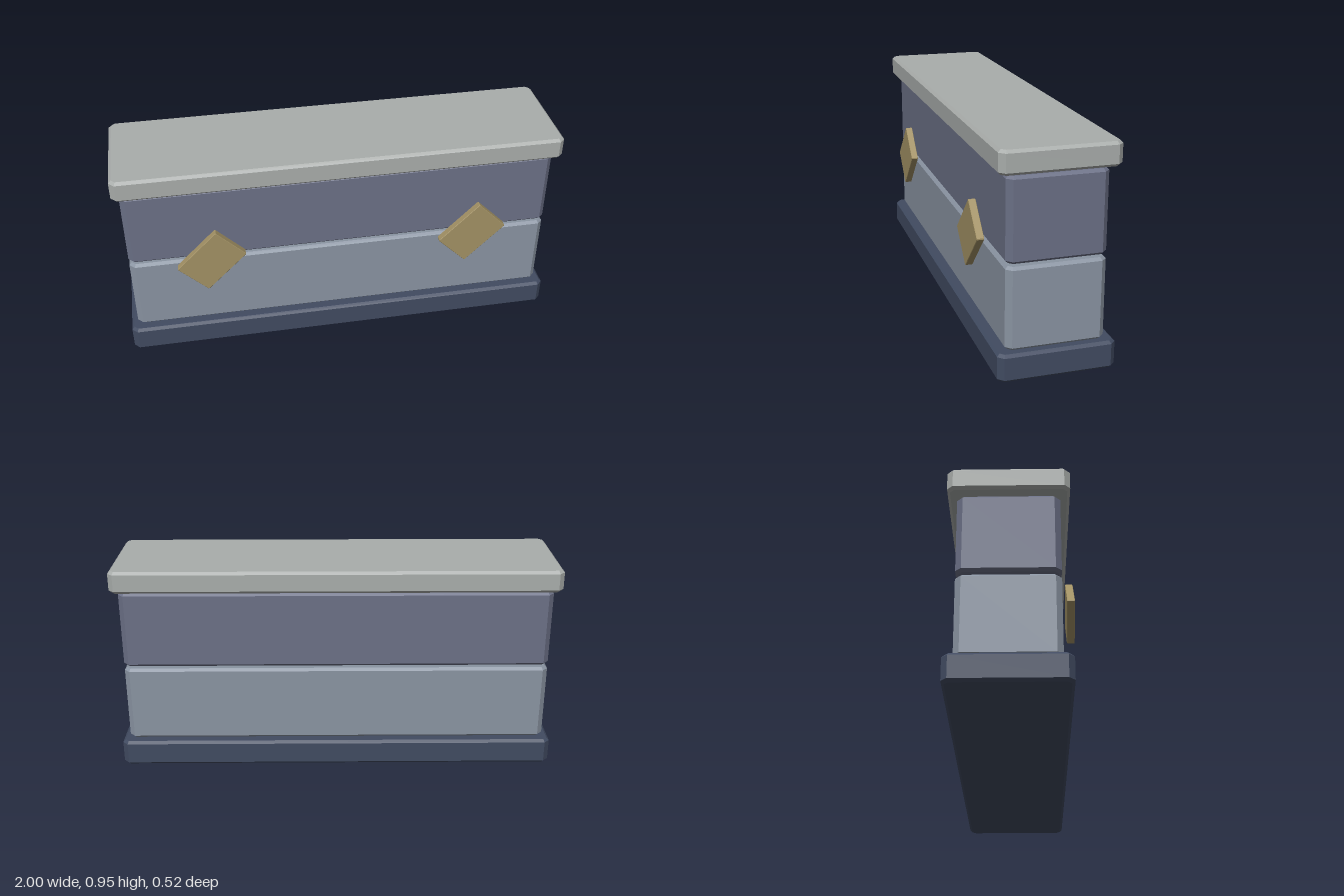
import * as THREE from 'three';

// Block with cut corners in outline and a single-step chamfer on both faces.
// Outline lies in xy, depth along z, centred on the origin.
function chamferedBlock(w, h, depth, cut, bevel) {
  const x = w / 2, y = h / 2;
  const shape = new THREE.Shape([
    [x - cut, -y], [x, -y + cut], [x, y - cut], [x - cut, y],
    [-x + cut, y], [-x, y - cut], [-x, -y + cut], [-x + cut, -y],
  ].map(([px, py]) => new THREE.Vector2(px, py)));
  const geo = new THREE.ExtrudeGeometry(shape, {
    depth: depth - 2 * bevel, bevelEnabled: true, bevelSegments: 1,
    bevelThickness: bevel, bevelSize: bevel, bevelOffset: -bevel,
  });
  return geo.translate(0, 0, bevel - depth / 2);
}

function part(name, geometry, color) {
  const material = new THREE.MeshStandardMaterial({ color, flatShading: true });
  const mesh = new THREE.Mesh(geometry, material);
  mesh.name = name;
  return mesh;
}

export function createModel() {
  const model = new THREE.Group();
  model.name = 'barrier';

  // Stacked slabs: name, width, depth, bottom, top, color
  const slabs = [
    ['base', 2, 0.498, 0, 0.12, 0x414b61],
    ['lowerBlock', 1.94, 0.418, 0.12, 0.474, 0x8a94a2],
    ['upperBlock', 1.94, 0.418, 0.486, 0.84, 0x6b7086],
    ['cap', 2, 0.498, 0.852, 0.952, 0xa9adab],
  ];
  for (const [name, width, depth, bottom, top, color] of slabs) {
    const geo = chamferedBlock(width, depth, top - bottom, 0.024, 0.012);
    geo.rotateX(-Math.PI / 2);
    const slab = part(name, geo, color);
    slab.position.set(0, (bottom + top) / 2, -0.009);
    model.add(slab);
  }

  // Tilted plates in front of the seam
  const plateGeo = chamferedBlock(0.256, 0.186, 0.032, 0.004, 0.002);
  for (const [name, x] of [['rightPlate', -0.602], ['leftPlate', 0.6]]) {
    const plate = part(name, plateGeo, 0xa29164);
    plate.position.set(x, 0.495, 0.242);
    plate.rotation.z = Math.PI / 4;
    model.add(plate);
  }
  return model;
}
